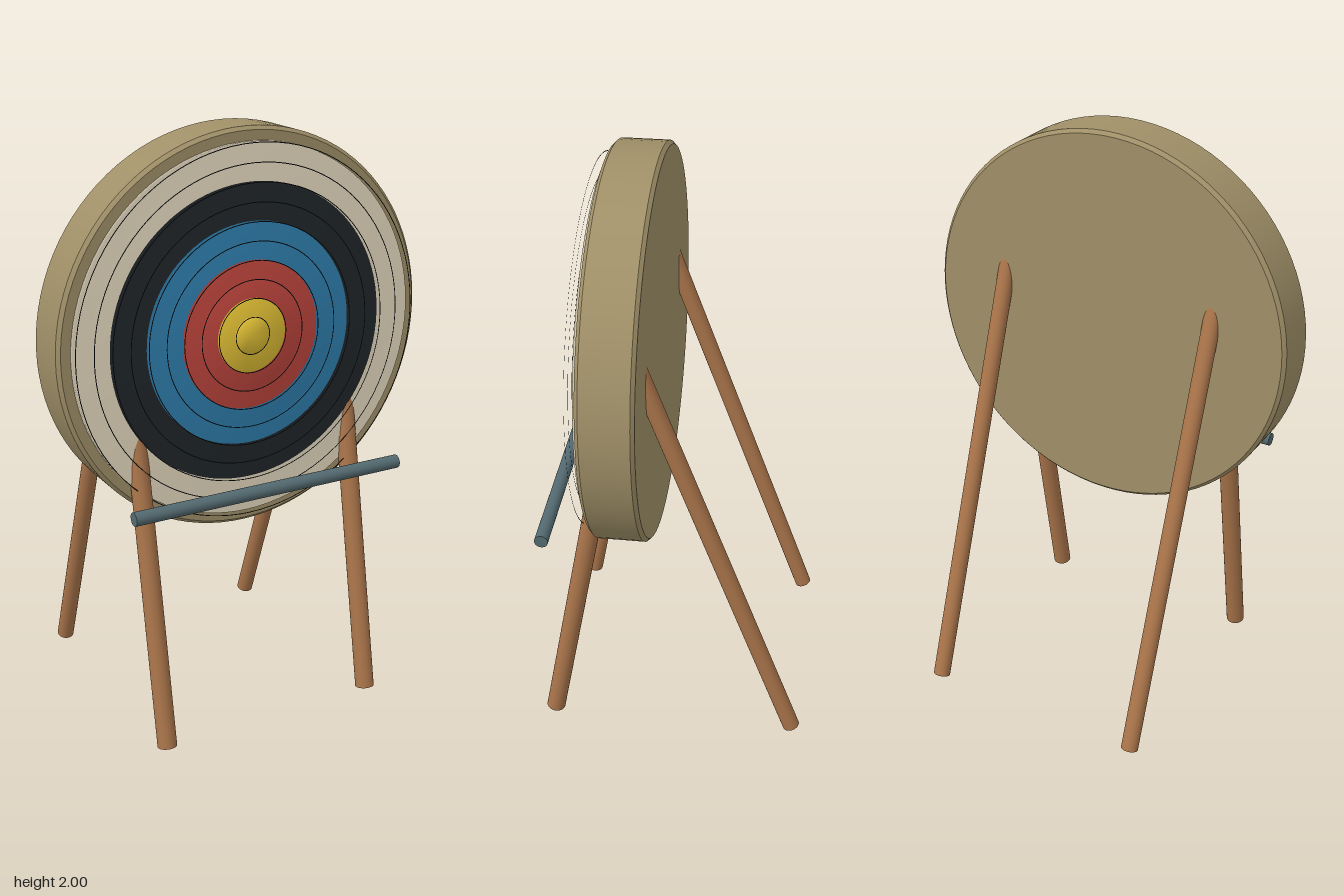
import * as THREE from 'three';

const CENTER_Y = 1.337;

function mesh(name, geometry, color, side = THREE.FrontSide) {
  const m = new THREE.Mesh(geometry, new THREE.MeshStandardMaterial({ color, side }));
  m.name = name;
  return m;
}

// Lathe turned so that its axis runs along z; profile points are [radius, z].
function turned(profile, segments = 96) {
  const points = profile.map(([r, z]) => new THREE.Vector2(r, z));
  return new THREE.LatheGeometry(points, segments).rotateX(Math.PI / 2);
}

// Round pole between two points.
function pole(name, from, to, radius, color) {
  const a = new THREE.Vector3(...from);
  const b = new THREE.Vector3(...to);
  const m = mesh(name, new THREE.CylinderGeometry(radius, radius, a.distanceTo(b), 24), color);
  m.position.copy(a).add(b).multiplyScalar(0.5);
  m.quaternion.setFromUnitVectors(new THREE.Vector3(0, 1, 0), b.sub(a).normalize());
  return m;
}

export function createModel() {
  const model = new THREE.Group();
  model.name = 'archeryTarget';

  // Thick round backing board with bevelled rims; doubled points keep edges sharp
  const R = 0.665, B = 0.012, back = 0.07, front = 0.25;
  const board = mesh('board', turned([
    [0, back], [R - B, back], [R - B, back], [R, back + B], [R, back + B],
    [R, front - B], [R, front - B], [R - B, front], [R - B, front], [0, front],
  ]), 0xa09068);
  board.position.y = CENTER_Y;
  model.add(board);

  // Ten stacked scoring discs, two per colour, with a thin line around each
  const face = new THREE.Group();
  face.name = 'targetFace';
  face.position.y = CENTER_Y;
  const colors = [0xe8dcc2, 0x20262a, 0x2f80b0, 0xc2463e, 0xe6c436];
  const names = ['white', 'black', 'blue', 'red', 'yellow'];
  for (let i = 0; i < 10; i++) {
    const r = 0.062 * (10 - i);
    const z = 0.262 + i * 0.0023;
    const band = Math.floor(i / 2);
    face.add(mesh(`${names[band]}Disc`, turned([[r, 0.245], [r, z], [0, z]]), colors[band]));
    const line = mesh('scoreLine', new THREE.RingGeometry(r - 0.0015, r + 0.0015, 96), 0x20262a, THREE.DoubleSide);
    line.position.z = 0.287;
    face.add(line);
  }
  model.add(face);

  // Splayed legs running into the board
  const wood = 0xa9744a;
  for (const [side, x] of [['left', 0.397], ['right', -0.397]]) {
    model.add(pole(`${side}FrontLeg`, [x, 0.006, 0.428], [x, 1.15, 0.212], 0.033, wood));
    model.add(pole(`${side}BackLeg`, [x, 0.01, -0.432], [x, 1.54, 0.122], 0.03, wood));
  }

  // Horizontal bar in front of the legs
  model.add(pole('crossBar', [-0.497, 0.85, 0.415], [0.497, 0.85, 0.415], 0.023, 0x536a70));

  return model;
}
